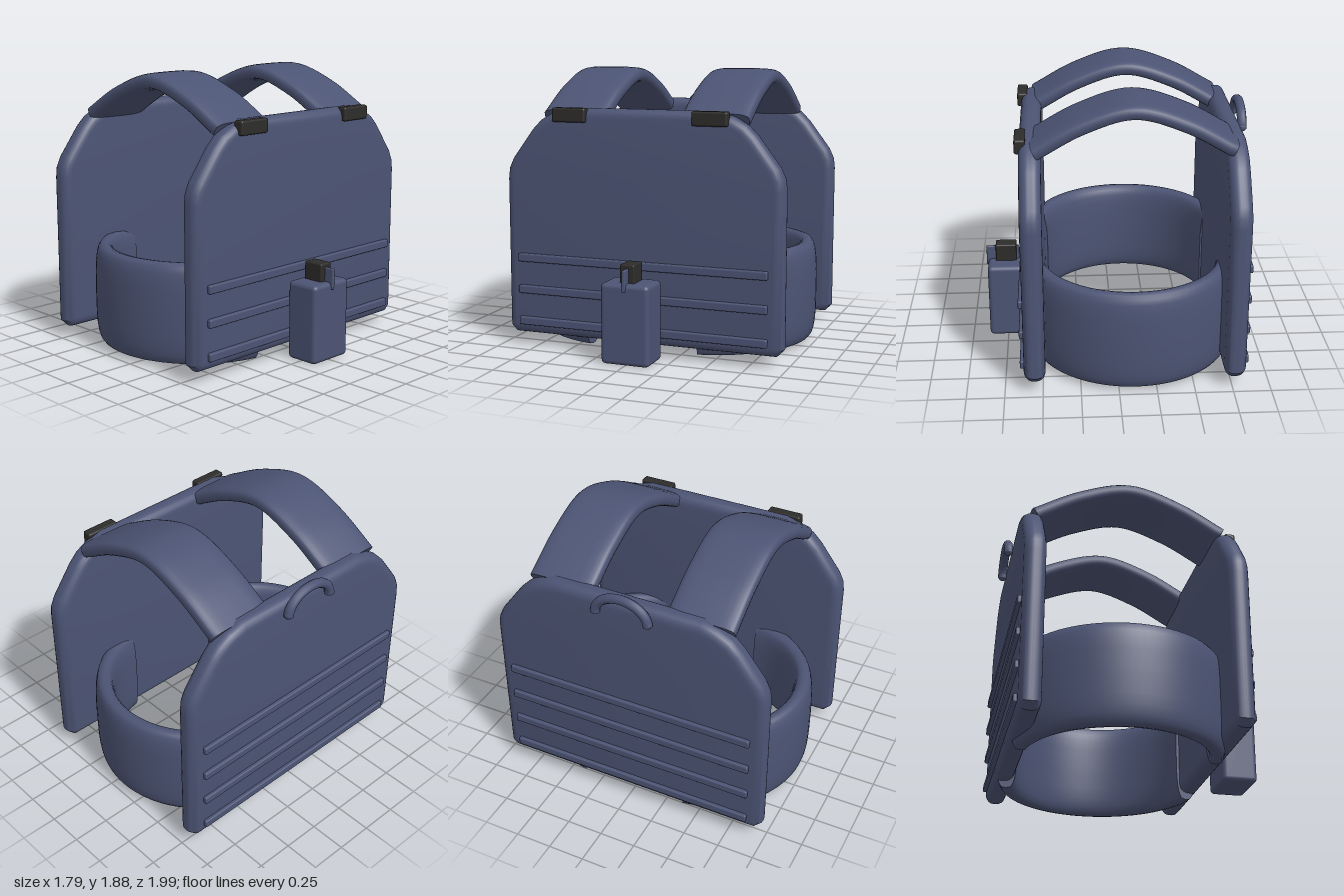
import * as THREE from 'three';
import { toCreasedNormals } from 'three/addons/utils/BufferGeometryUtils.js';
import { RoundedBoxGeometry } from 'three/addons/geometries/RoundedBoxGeometry.js';

const CX = -0.11; // middle between the two panels

// Sweep a soft-edged band (half thickness ht, half width hw along z) along a path in the XY plane
function sweepBand(path, ht, hw, power) {
  const N = 24, pos = [], idx = [];
  const soft = (v) => Math.sign(v) * Math.pow(Math.abs(v), power);
  path.forEach((p, i) => {
    const a = path[Math.max(i - 1, 0)], b = path[Math.min(i + 1, path.length - 1)];
    const t = new THREE.Vector2().subVectors(b, a).normalize();
    for (let j = 0; j < N; j++) {
      const ang = (j / N) * Math.PI * 2;
      const v = ht * soft(Math.cos(ang)), u = hw * soft(Math.sin(ang));
      pos.push(p.x - t.y * v, p.y + t.x * v, u);
    }
  });
  for (let i = 0; i < path.length - 1; i++) {
    for (let j = 0; j < N; j++) {
      const k = (j + 1) % N, a = i * N + j, b = i * N + k;
      idx.push(a, b, a + N, b, b + N, a + N);
    }
  }
  // end caps
  const last = (path.length - 1) * N;
  for (let j = 1; j < N - 1; j++) {
    idx.push(0, j + 1, j, last, last + j, last + j + 1);
  }
  const g = new THREE.BufferGeometry();
  g.setAttribute('position', new THREE.Float32BufferAttribute(pos, 3));
  g.setIndex(idx);
  return toCreasedNormals(g, 0.9);
}

// Panel outline with clipped shoulders and a rolled edge, facing along x
function panelGeometry() {
  const half = [[0.93, 0.08], [0.975, 0.125], [0.975, 1.15], [0.967, 1.22], [0.935, 1.29],
    [0.785, 1.49], [0.72, 1.555], [0.63, 1.605], [0.52, 1.638]];
  const pts = half.map(([z, y]) => new THREE.Vector2(z, y));
  half.slice().reverse().forEach(([z, y]) => pts.push(new THREE.Vector2(-z, y)));
  const g = new THREE.ExtrudeGeometry(new THREE.Shape(pts), {
    depth: 0.02, bevelThickness: 0.061, bevelSize: 0.061, bevelOffset: -0.061, bevelSegments: 5,
  });
  g.translate(0, 0, -0.01);
  g.rotateY(Math.PI / 2);
  return toCreasedNormals(g, 0.6);
}

export function createModel() {
  const model = new THREE.Group();
  model.name = 'plateVest';
  const fabric = new THREE.MeshStandardMaterial({ color: 0x4c5474 });
  fabric.name = 'navy fabric';
  const plastic = new THREE.MeshStandardMaterial({ color: 0x2d2c2a });
  plastic.name = 'black plastic';

  const add = (name, geometry, material, x = 0, y = 0, z = 0) => {
    const mesh = new THREE.Mesh(geometry, material);
    mesh.name = name;
    mesh.position.set(x, y, z);
    model.add(mesh);
    return mesh;
  };
  // Rounded box given by its extents
  const block = (name, material, [x0, x1], [y0, y1], [z0, z1], r) =>
    add(name, new RoundedBoxGeometry(x1 - x0, y1 - y0, z1 - z0, 3, r), material,
      (x0 + x1) / 2, (y0 + y1) / 2, (z0 + z1) / 2);

  // Chest and back panels
  const panel = panelGeometry();
  add('chestPanel', panel, fabric, 0.553);
  add('backPanel', panel, fabric, -0.766);

  // Webbing rows: three on the chest, four on the back
  for (let i = 0; i < 4; i++) {
    const y = [0.147 + i * 0.22, 0.203 + i * 0.22];
    if (i < 3) block('chestWebbing', fabric, [0.6, 0.65], y, [-0.88, 0.88], 0.01);
    block('backWebbing', fabric, [-0.862, -0.81], y, [-0.88, 0.88], 0.01);
  }

  // Shoulder straps arching over the top
  const arch = new THREE.CatmullRomCurve3([[-0.635, 1.575], [-0.33, 1.742], [0, 1.835],
    [0.33, 1.742], [0.635, 1.575]].map(([x, y]) => new THREE.Vector3(CX + x, y, 0)));
  const strapPath = arch.getPoints(32).map((p) => new THREE.Vector2(p.x, p.y));
  const strap = sweepBand(strapPath, 0.055, 0.23, 0.5);

  for (const s of [1, -1]) {
    add('shoulderStrap', strap, fabric, 0, 0, s * 0.49);
    block('strapBuckle', plastic, [0.58, 0.652], [1.545, 1.64],
      s > 0 ? [0.37, 0.61] : [-0.61, -0.37], 0.014);

    // Side belts bowing out between the panels
    const beltPath = [];
    for (let i = 0; i <= 36; i++) {
      const a = THREE.MathUtils.degToRad(9 + (162 * i) / 36);
      beltPath.push(new THREE.Vector2(CX + 0.647 * Math.cos(a), s * (0.278 + 0.647 * Math.sin(a))));
    }
    const belt = sweepBand(beltPath, 0.07, 0.34, 0.6);
    belt.rotateX(Math.PI / 2);
    add('sideBelt', belt, fabric, 0, 0.37, 0);
  }

  // Drag handle on the back
  const loop = [];
  for (let i = 0; i <= 16; i++) {
    const a = (Math.PI * i) / 16;
    loop.push(new THREE.Vector3(-0.863, 1.545 + 0.14 * Math.sin(a), 0.185 * Math.cos(a)));
  }
  add('dragHandle', new THREE.TubeGeometry(new THREE.CatmullRomCurve3(loop), 32, 0.032, 10), fabric);
  for (const s of [1, -1]) {
    add('handleEnd', new THREE.SphereGeometry(0.032, 10, 8), fabric, -0.863, 1.56, s * 0.185);
  }

  // Radio pouch with the radio top and its retaining strap
  block('radioPouch', fabric, [0.64, 0.88], [0.005, 0.54], [-0.168, 0.168], 0.03);
  block('radio', plastic, [0.68, 0.825], [0.48, 0.66], [-0.05, 0.05], 0.01);
  block('radioStrap', fabric, [0.66, 0.892], [0.492, 0.635], [-0.012, 0.012], 0.008);

  return model;
}
